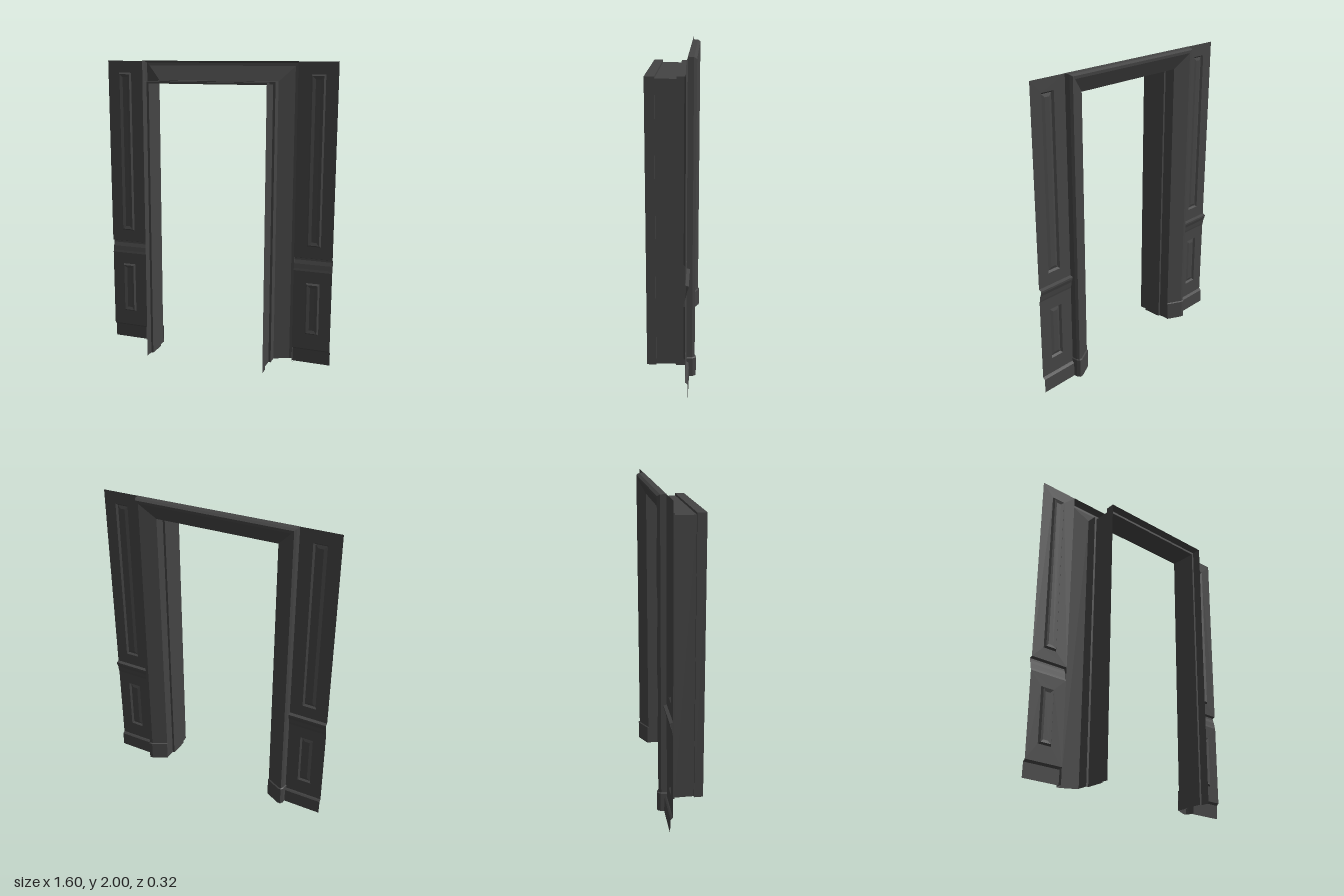
import * as THREE from 'three';

const material = new THREE.MeshStandardMaterial({
  color: 0x444444, flatShading: true, side: THREE.DoubleSide,
});

// Flat-shaded surface through rows of points
function loft(name, rows) {
  const pos = [];
  for (let i = 0; i < rows.length - 1; i++) {
    for (let j = 0; j < rows[i].length - 1; j++) {
      const a = rows[i][j], b = rows[i][j + 1], c = rows[i + 1][j + 1], d = rows[i + 1][j];
      pos.push(...a, ...b, ...c, ...a, ...c, ...d);
    }
  }
  const geo = new THREE.BufferGeometry();
  geo.setAttribute('position', new THREE.Float32BufferAttribute(pos, 3));
  geo.computeVertexNormals();
  return named(name, geo);
}

function named(name, geo) {
  const mesh = new THREE.Mesh(geo, material);
  mesh.name = name;
  return mesh;
}

const HALF = 0.4, HEAD = 1.858, WALL = 0.1;

// Sweep a [distance from opening, z] profile up, over and down the doorway
const sweepDoorway = (name, profile) => loft(name, profile.map(([d, z]) => [
  [-HALF - d, 0, z], [-HALF - d, HEAD + d, z], [HALF + d, HEAD + d, z], [HALF + d, 0, z],
]));

// Run a [y, z] profile sideways between two x positions
const runAcross = (name, x0, x1, profile) =>
  loft(name, profile.map(([y, z]) => [[x0, y, z], [x1, y, z]]));

// Closed rectangle of corners, shrunk by an inset
const rectLoop = (x0, x1, y0, y1, s, z) => [
  [x0 + s, y0 + s, z], [x1 - s, y0 + s, z], [x1 - s, y1 - s, z], [x0 + s, y1 - s, z], [x0 + s, y0 + s, z],
];

// Wall section with a rectangular opening for its sunk panel
function wallSection(name, x0, x1, y0, y1, px0, px1, py0, py1) {
  const section = new THREE.Group();
  section.name = name;
  const outline = (a, b, c, d) => rectLoop(a, b, c, d, 0, 0).slice(0, 4).map(p => new THREE.Vector2(p[0], p[1]));
  const shape = new THREE.Shape(outline(x0, x1, y0, y1));
  shape.holes.push(new THREE.Path(outline(px0, px1, py0, py1)));
  const face = named('wallFace', new THREE.ShapeGeometry(shape));
  face.position.z = WALL;
  section.add(face);

  // Sunk moulding, then a gently raised field
  const rings = [[0, WALL], [0.01, 0.087], [0.03, 0.094]];
  section.add(loft('panelMoulding', rings.map(([s, z]) => rectLoop(px0, px1, py0, py1, s, z))));
  section.add(runAcross('panelField', px0 + 0.03, px1 - 0.03, [[py0 + 0.03, 0.094], [py1 - 0.03, 0.094]]));
  return section;
}

export function createModel() {
  const model = new THREE.Group();
  model.name = 'doorway';
  // Built with the panelled side toward +z, then turned to the rear
  const body = new THREE.Group();
  body.name = 'doorwayBody';
  body.rotation.y = Math.PI;
  model.add(body);

  // Jamb lining with a raised stop
  body.add(sweepDoorway('jambLining', [
    [0.015, -0.16], [0.015, -0.1], [0, -0.1], [0, 0.03], [0.015, 0.03], [0.015, WALL],
  ]));

  // Mitred casing
  const casing = [[0.015, WALL], [0.112, 0.15], [0.13, 0.152], [0.14, 0.135], [0.143, WALL]];
  body.add(sweepDoorway('casing', casing));

  // Plinth blocks: the casing profile, slightly thicker, with a top ledge
  const block = [[0.012, WALL], [0.012, 0.107], [0.11, 0.158], [0.132, 0.16], [0.145, 0.14], [0.148, WALL]];
  const inner = [casing[0], casing[0], ...casing.slice(1)];
  for (const side of [-1, 1]) {
    const at = ([d, z], y) => [side * (HALF + d), y, z];
    const rows = [
      block.map(p => at(p, 0)), block.map(p => at(p, 0.125)), inner.map(p => at(p, 0.13)),
    ];
    if (side < 0) rows.forEach(r => r.reverse());
    body.add(loft('plinthBlock', rows));
  }

  // Panelled walls on both sides
  for (const side of [-1, 1]) {
    const span = (a, b) => (side > 0 ? [a, b] : [-b, -a]);
    const wall = new THREE.Group();
    wall.name = side > 0 ? 'rightWall' : 'leftWall';
    const w = span(0.542, 0.8), p = span(0.627, 0.72);
    wall.add(
      wallSection('lowerWall', ...w, 0.105, 0.645, ...p, 0.21, 0.565),
      wallSection('upperWall', ...w, 0.735, 2, ...p, 0.815, 1.92),
      runAcross('baseboard', ...w, [[0, 0.118], [0.092, 0.115], [0.1, 0.107], [0.105, WALL]]),
      runAcross('chairRail', ...w, [
        [0.645, WALL], [0.66, 0.104], [0.69, 0.109], [0.715, 0.119], [0.728, 0.12], [0.735, WALL],
      ]),
    );
    body.add(wall);
  }
  return model;
}
